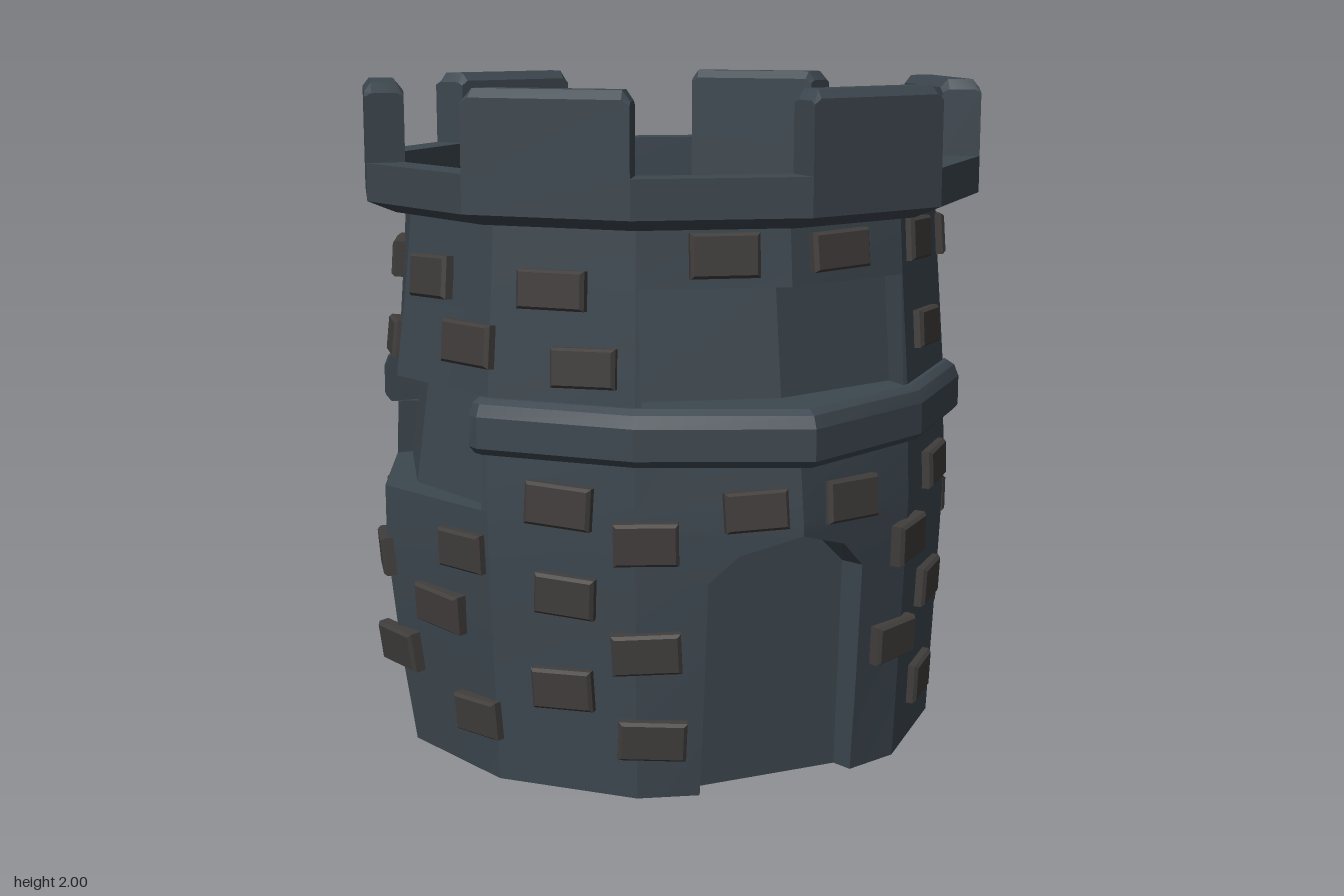
import * as THREE from 'three';
import { mergeGeometries, toCreasedNormals } from 'three/addons/utils/BufferGeometryUtils.js';

const DEG = Math.PI / 180;
const SIDES = 12, STEP = 30;
const stone = new THREE.MeshStandardMaterial({ color: 0x3d474f, side: THREE.DoubleSide });
const brickMat = new THREE.MeshStandardMaterial({ color: 0x403d3b, flatShading: true });

// Wall profile: height, radius of the four axis corners, radius of the corners between
const PROFILE = [[0, 0.845, 0.835], [0.3, 0.89, 0.85], [0.62, 0.925, 0.865], [0.81, 0.925, 0.872],
  [1.14, 0.88, 0.86], [1.46, 0.84, 0.836], [1.63, 0.825, 0.825]];

// Radii [axis, between] at any height
function radiiAt(y) {
  const i = Math.max(1, PROFILE.findIndex(p => y <= p[0]));
  const p = PROFILE[i - 1], q = PROFILE[i], t = (y - p[0]) / (q[0] - p[0]);
  return [p[1] + (q[1] - p[1]) * t, p[2] + (q[2] - p[2]) * t];
}

// Angle 0 is the front, growing towards +x
const polar = (deg, r, y) => [r * Math.sin(deg * DEG), y, r * Math.cos(deg * DEG)];
const corner = (deg, y) => polar(deg, radiiAt(y)[deg % 90 ? 1 : 0], y);

// Radius on the flat facet of a regular ring
function facetRadius(deg, r) {
  const mid = (Math.floor(deg / STEP) + 0.5) * STEP;
  return r * Math.cos(15 * DEG) / Math.cos((deg - mid) * DEG);
}

// Radius of the wall and direction its facet faces, at an angle and height
function wallAt(deg, y) {
  const a = Math.floor(deg / STEP) * STEP, A = corner(a, y), B = corner(a + STEP, y);
  const ex = B[0] - A[0], ez = B[2] - A[2], s = Math.sin(deg * DEG), c = Math.cos(deg * DEG);
  return { r: (A[2] * ex - A[0] * ez) / (c * ex - s * ez), yaw: Math.atan2(-ez, ex) };
}

// Point on the facet beside an axis corner, at a sideways distance x from that axis
function onFacet(axis, x, [r, between], y) {
  const c = Math.cos(axis * DEG), s = Math.sin(axis * DEG);
  const out = r + Math.abs(x) / (between / 2) * (between * Math.cos(STEP * DEG) - r);
  return [out * s + x * c, y, out * c - x * s];
}

function fromTriangles(tris) {
  const g = new THREE.BufferGeometry();
  g.setAttribute('position', new THREE.Float32BufferAttribute(tris.flat(), 3));
  return toCreasedNormals(g, 20 * DEG);
}
const quad = (out, a, b, c, d) => out.push(a, b, c, a, c, d);
const mirrorQuad = (out, side, a, b, c, d) => (side > 0 ? quad(out, a, b, c, d) : quad(out, b, a, d, c));

// Joins closed cross-sections (anticlockwise in radius, height), optionally capped
function sweep(sections, capped) {
  const out = [];
  for (let s = 0; s < sections.length - 1; s++) {
    const p = sections[s], q = sections[s + 1], n = p.length;
    for (let i = 0; i < n; i++) quad(out, p[i], q[i], q[(i + 1) % n], p[(i + 1) % n]);
  }
  if (capped) {
    const a = sections[0], b = sections[sections.length - 1];
    for (let i = 1; i < a.length - 1; i++) out.push(a[0], a[i], a[i + 1], b[0], b[i + 1], b[i]);
  }
  return fromTriangles(out);
}

function add(group, name, geometry, material = stone) {
  const m = new THREE.Mesh(geometry, material);
  m.name = name;
  group.add(m);
  return m;
}

// Recessed windows: corner angle and profile row; front and back high, sides lower
const WINDOWS = [[0, 4], [180, 4], [90, 3], [270, 3]];
const RECESS = 0.1, HALF_WINDOW = 0.413;

// Doorway: height, half width of the outer arch, half width and height of the panel
const ARCH = [[0, 0.245, 0.225, 0], [0.3, 0.245, 0.225, 0.3], [0.64, 0.245, 0.225, 0.635],
  [0.72, 0.165, 0.15, 0.71], [0.775, 0, 0, 0.76], [0.81, 0, 0, 0.76]];

function wallGeometry() {
  const out = [];
  for (let a = 0; a < 360; a += STEP) {
    const b = a + STEP;
    for (let row = 0; row < PROFILE.length - 1; row++) {
      const isWindow = WINDOWS.some(([axis, r]) => r === row && (axis === a || axis === b % 360));
      if (isWindow || (row < 3 && (a === 0 || b === 360))) continue;
      const y0 = PROFILE[row][0], y1 = PROFILE[row + 1][0];
      quad(out, corner(a, y0), corner(b, y0), corner(b, y1), corner(a, y1));
    }
  }
  // Wall on both sides of the doorway
  for (const s of [-1, 1]) for (let i = 0; i < ARCH.length - 1; i++) {
    const [y0, w0] = ARCH[i], [y1, w1] = ARCH[i + 1], r0 = radiiAt(y0), r1 = radiiAt(y1);
    mirrorQuad(out, s, onFacet(0, s * w0, r0, y0), onFacet(0, s * r0[1] / 2, r0, y0),
      onFacet(0, s * r1[1] / 2, r1, y1), onFacet(0, s * w1, r1, y1));
  }
  return fromTriangles(out);
}

// Set-back panel, straight jambs, sill and head of one window
function windowGeometry(axis, row) {
  const out = [], [y0, ...r0] = PROFILE[row], [y1, ...r1] = PROFILE[row + 1];
  const i0 = [r0[0] - RECESS, r0[0] - RECESS], i1 = [r1[0] - RECESS, r1[0] - RECESS];
  for (const s of [-1, 1]) {
    const p = (x, r, y) => onFacet(axis, s * x, r, y), w = HALF_WINDOW;
    mirrorQuad(out, s, p(0, i0, y0), p(w, i0, y0), p(w, i1, y1), p(0, i1, y1));
    mirrorQuad(out, s, p(w, i0, y0), p(w, r0, y0), p(w, r1, y1), p(w, i1, y1));
    mirrorQuad(out, s, p(0, r0, y0), p(w, r0, y0), p(w, i0, y0), p(0, i0, y0));
    mirrorQuad(out, s, p(0, i1, y1), p(w, i1, y1), p(w, r1, y1), p(0, r1, y1));
    mirrorQuad(out, s, p(w, r0, y0), p(r0[1] / 2, r0, y0), p(r1[1] / 2, r1, y1), p(w, r1, y1));
  }
  return fromTriangles(out);
}

function doorGeometries() {
  const frame = [], panel = [];
  const inner = (x, y) => [x, y, 0.71 + 0.05 * y];
  for (const s of [-1, 1]) for (let i = 0; i < ARCH.length - 2; i++) {
    const [y0, w0, p0, h0] = ARCH[i], [y1, w1, p1, h1] = ARCH[i + 1];
    mirrorQuad(frame, s, inner(s * p0, h0), onFacet(0, s * w0, radiiAt(y0), y0),
      onFacet(0, s * w1, radiiAt(y1), y1), inner(s * p1, h1));
    mirrorQuad(panel, s, inner(0, h0), inner(s * p0, h0), inner(s * p1, h1), inner(0, h1));
  }
  return [frame, panel].map(fromTriangles);
}

// Thin stone brick with a bevelled front face
function brickGeometry() {
  const g = new THREE.BoxGeometry(0.195, 0.12, 0.04, 1, 1, 2);
  const p = g.attributes.position;
  for (let i = 0; i < p.count; i++) {
    if (p.getZ(i) > 0.01) p.setXY(i, p.getX(i) * 0.9, p.getY(i) * 0.86);
    else if (p.getZ(i) > -0.01) p.setZ(i, 0.01);
  }
  return g.translate(0, 0, 0.01);
}

// Brick rows: height, then angles around the tower
const BRICKS = [
  [1.55, -13, 12, 40, 135, 171, 199],
  [1.53, 65],
  [1.45, -47, 103, 242, -80],
  [1.28, 44, 81, 117, -66],
  [1.24, -40, 223, 263],
  [0.85, -45, -8, 12, 48],
  [0.76, -28, 126, 158, 190],
  [0.68, 30, 75, 102, -67, 210, 237],
  [0.59, -44, 266],
  [0.48, 48, 121, 147, -75],
  [0.44, -28, 170, 218, 242],
  [0.38, 27, 75, 102],
  [0.31, -45, 194, 271],
  [0.18, -27, 46, 103, 160, -65, 224],
  [0.24, 130],
];

function bricksGeometry() {
  const parts = [], base = brickGeometry(), o = new THREE.Object3D();
  o.rotation.order = 'YXZ';
  for (const [y, ...angles] of BRICKS) for (const deg of angles) {
    const n = parts.length, { r, yaw } = wallAt(deg, y);
    const slope = (wallAt(deg, y + 0.05).r - wallAt(deg, y - 0.05).r) / 0.1;
    const turn = Math.atan2(Math.sin(yaw - deg * DEG), Math.cos(yaw - deg * DEG));
    o.position.set(...polar(deg, r, y));
    // Facing halfway between the facet's normal and straight outwards
    o.rotation.set(Math.atan(slope), deg * DEG + turn / 2, Math.sin(n * 2.7) * 0.05);
    o.scale.set(1 + 0.08 * Math.sin(n * 1.9), 0.98 + 0.06 * Math.cos(n * 3.1), 1);
    o.updateMatrix();
    parts.push(base.clone().applyMatrix4(o.matrix));
  }
  return mergeGeometries(parts);
}

export function createModel() {
  const tower = new THREE.Group();
  tower.name = 'tower';
  const body = new THREE.Group();
  body.position.z = -0.02;
  body.name = 'towerBody';
  tower.add(body);

  add(body, 'wall', wallGeometry());
  for (const [axis, row] of WINDOWS) add(body, 'windowRecess', windowGeometry(axis, row));
  const [doorFrame, doorPanel] = doorGeometries();
  add(body, 'doorFrame', doorFrame);
  add(body, 'doorPanel', doorPanel);
  add(body, 'bricks', bricksGeometry(), brickMat);

  // Rounded ledge in two arcs, cut off square beside the side windows
  const ledge = [[0.8, 0.98], [0.98, 0.98], [1, 1.0], [1, 1.09], [0.985, 1.125], [0.96, 1.14], [0.8, 1.14]];
  for (const [name, start, reach] of [['frontLedge', -60, 0.99], ['backLedge', 120, 0.935]]) {
    const sections = [0, 1, 2, 3, 4].map(i => ledge.map(([r, y]) => polar(start + i * STEP, r * (i === 2 ? reach : 0.91), y)));
    const end = section => section.map(([x, y, z]) => [x * 1.01, y, Math.sign(z) * HALF_WINDOW]);
    add(body, name, sweep([end(sections[0]), ...sections, end(sections[4])], true));
  }

  // Roof floor
  const floor = add(body, 'roofFloor', new THREE.CircleGeometry(0.84, SIDES));
  floor.rotation.x = -Math.PI / 2;
  floor.position.y = 1.63;

  // Parapet ring
  const ring = [[0.838, 1.625], [0.87, 1.625], [0.955, 1.66], [0.955, 1.77], [0.838, 1.77]];
  const ringSections = [];
  for (let k = 0; k <= SIDES; k++) ringSections.push(ring.map(([r, y]) => polar(k * STEP, r, y)));
  add(body, 'parapet', sweep(ringSections, false));

  // Bevelled merlons on every other facet
  for (let k = 0; k < SIDES; k += 2) {
    const sections = [[0.01, 0.03], [1.4, 0], [28.6, 0], [29.99, 0.03]].map(([t, drop]) => {
      const deg = k * STEP + t;
      return [[0.838, 1.765], [0.955, 1.765], [0.955, 1.975 - drop / 2], [0.935, 2 - drop], [0.86, 2 - drop], [0.838, 1.975 - drop / 2]]
        .map(([r, y]) => polar(deg, facetRadius(deg, r), y));
    });
    add(body, 'merlon', sweep(sections, true));
  }
  return tower;
}
